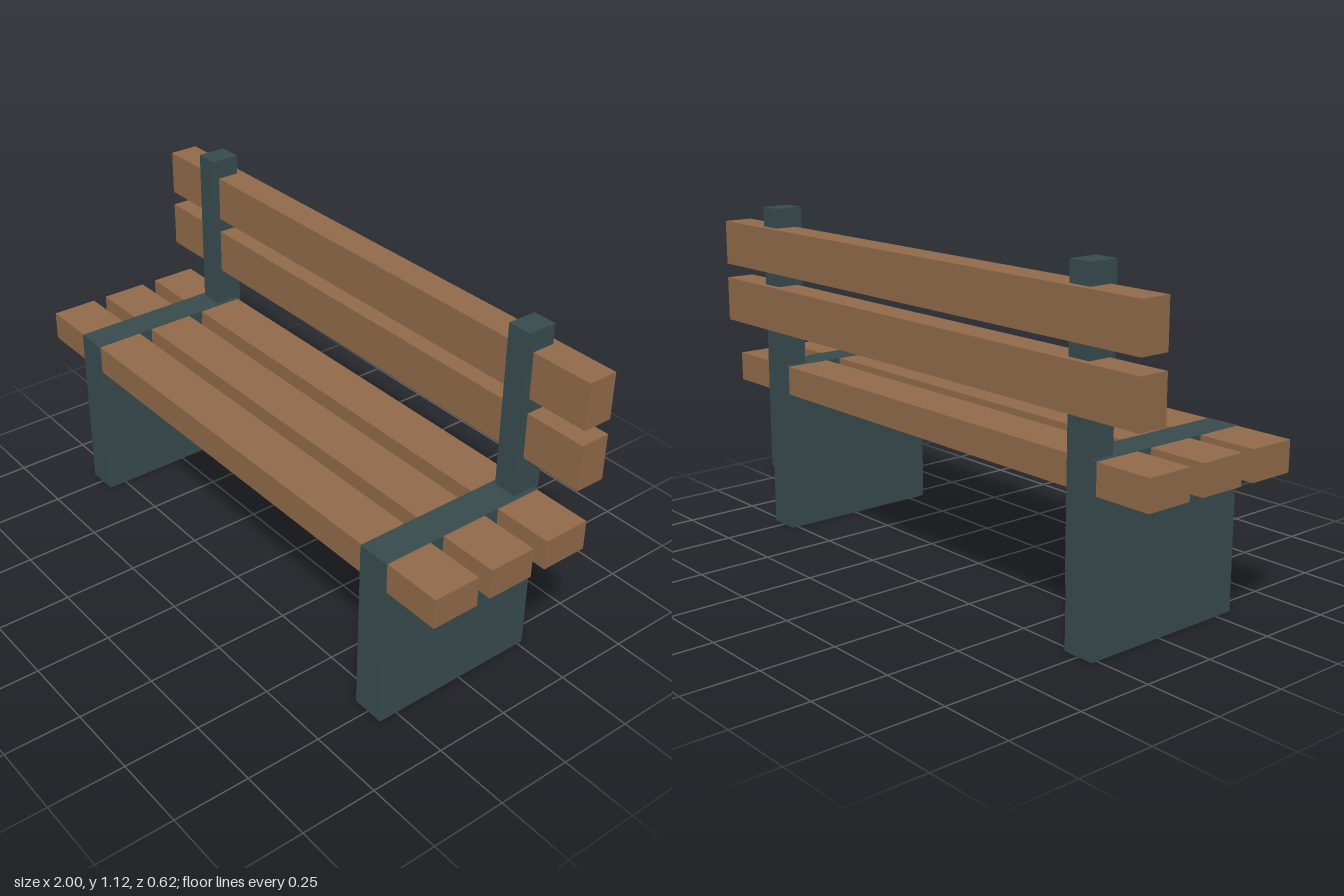
import * as THREE from 'three';

const wood = new THREE.MeshStandardMaterial({ color: 0x916a4a });
const iron = new THREE.MeshStandardMaterial({ color: 0x384b4e });

// Box given by its extents on each axis
function block(name, material, [x0, x1], [y0, y1], [z0, z1]) {
  const mesh = new THREE.Mesh(new THREE.BoxGeometry(x1 - x0, y1 - y0, z1 - z0), material);
  mesh.position.set((x0 + x1) / 2, (y0 + y1) / 2, (z0 + z1) / 2);
  mesh.name = name;
  return mesh;
}

export function createModel() {
  const bench = new THREE.Group();
  bench.name = 'parkBench';

  // Slab legs and backrest posts, one pair per side
  for (const [side, x] of [['left', 0.75], ['right', -0.75]]) {
    bench.add(
      block(`${side}Leg`, iron, [x - 0.055, x + 0.055], [0, 0.584], [-0.27, 0.313]),
      block(`${side}BackPost`, iron, [x - 0.04, x + 0.04], [0.21, 1.125], [-0.287, -0.189])
    );
  }

  // Seat slats, let into the legs so their tops lie flush
  [0.23, 0.023, -0.188].forEach((z, i) => {
    bench.add(block(`seatSlat${i + 1}`, wood, [-1, 1], [0.485, 0.583], [z - 0.079, z + 0.079]));
  });

  // Backrest slats, let into the rear of the posts
  [0.785, 0.984].forEach((y, i) => {
    bench.add(block(`backSlat${i + 1}`, wood, [-1, 1], [y - 0.075, y + 0.075], [-0.311, -0.211]));
  });

  return bench;
}
